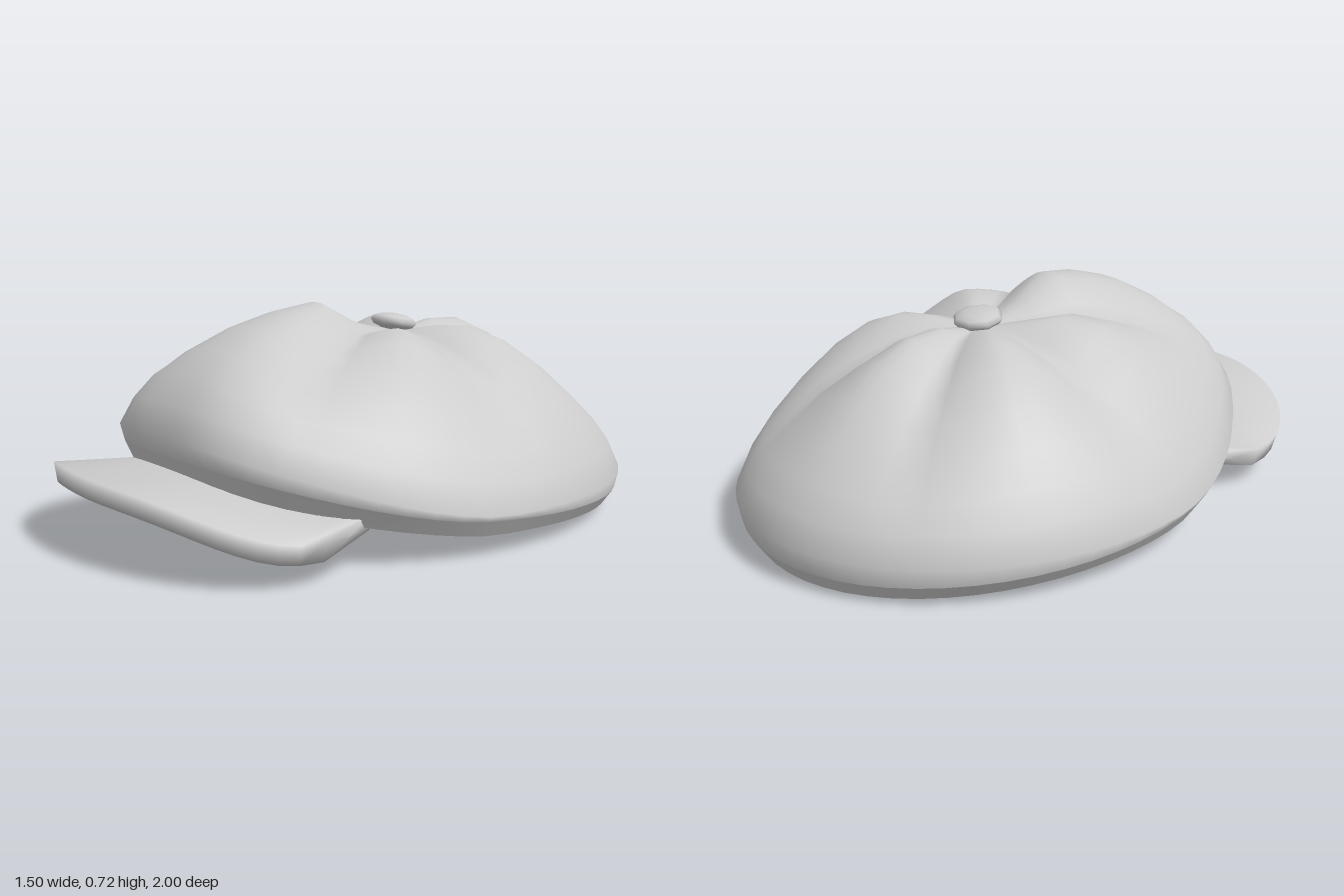
import * as THREE from 'three';
import { toCreasedNormals } from 'three/addons/utils/BufferGeometryUtils.js';

const { clamp, degToRad } = THREE.MathUtils;
const CENTRE_Z = -0.17;
const SEGMENTS = 60;

// Surface through rows of [x, y, z] points; each row is a closed ring
function loft(rows) {
  const n = rows[0].length;
  const index = [];
  for (let i = 0; i < rows.length - 1; i++) {
    for (let j = 0; j < n; j++) {
      const k = (j + 1) % n;
      const a = i * n + j, b = a + n, c = (i + 1) * n + k, d = i * n + k;
      index.push(a, b, c, a, c, d);
    }
  }
  const g = new THREE.BufferGeometry();
  g.setAttribute('position', new THREE.Float32BufferAttribute(rows.flat(2), 3));
  g.setIndex(index);
  g.computeVertexNormals();
  return g;
}

// Crown heights from the button (0) out to the widest line (1)
const STEPS = [0, 0.08, 0.2, 0.35, 0.5, 0.65, 0.78, 0.88, 0.95, 1];
const FRONT = [0.6, 0.61, 0.65, 0.72, 0.7, 0.66, 0.6, 0.53, 0.45, 0.36];
const SIDE = [0.6, 0.61, 0.625, 0.63, 0.595, 0.515, 0.42, 0.32, 0.23, 0.14];
const BACK = [0.6, 0.61, 0.63, 0.625, 0.57, 0.485, 0.38, 0.3, 0.22, 0.13];
const CREASE = [0, 0.005, 0.03, 0.07, 0.078, 0.062, 0.04, 0.022, 0.008, 0];
const SEAMS = [36, 90, 150];

// Point on the oval plan, squarer at the front corners, scaled about the button
function plan(angle, s) {
  const c = Math.cos(angle);
  const turn = Math.acos(clamp(c, 0.6, 1)) / Math.acos(0.6);
  const z = -0.12 + 0.88 * c + 0.036 * Math.sin(Math.PI * turn) ** 2;
  return [0.75 * Math.sin(angle) * s, CENTRE_Z + s * (z - CENTRE_Z)];
}

// Heights of the widest line, the crown's lower edge and the band's lower edge
function rimY(z) {
  return z < 0 ? 0.14 + 0.01 * z : 0.14 + 0.22 * Math.pow(z / 0.76, 1.5);
}
function tuckY(z) {
  return z < 0 ? 0.122 + 0.062 * z : 0.122 + 0.178 * Math.pow(z / 0.76, 1.5);
}
function bandY(z) {
  return z < 0 ? 0.07 - 0.066 * Math.pow(-z / 0.95, 1.5) : 0.07 + 0.13 * Math.pow(z / 0.7, 1.3);
}

function ring(s, height) {
  return Array.from({ length: SEGMENTS }, (_, j) => {
    const angle = (j / SEGMENTS) * Math.PI * 2;
    const [x, z] = plan(angle, s);
    return [x, height(angle), z];
  });
}

function crownRing(i) {
  return ring(STEPS[i], (angle) => {
    const c = Math.cos(angle);
    const blend = (k) => SIDE[k] + ((c > 0 ? FRONT[k] : BACK[k]) - SIDE[k]) * c * c;
    // Follow the widest line towards the edge
    const edge = clamp((STEPS[i] - 0.78) / 0.22, 0, 1);
    const y = blend(i) + (rimY(plan(angle, 1)[1]) - blend(9)) * edge;
    // Panels sink in towards the seams
    const deg = Math.acos(clamp(c, -1, 1)) * 180 / Math.PI;
    const near = Math.min(...SEAMS.map((seam) => Math.abs(deg - seam)));
    return y - CREASE[i] * Math.pow(1 - Math.min(near / 30, 1), 1.5);
  });
}

// Visor cross-sections from one end to the other
function visorGeometry() {
  const rows = [];
  const count = 24;
  for (let i = 0; i <= count; i++) {
    const a = degToRad(-90 + (180 * i) / count);
    const c = Math.max(0, Math.cos(a));
    const xo = 0.6 * Math.sin(a), zo = 0.57 + 0.43 * Math.pow(c, 0.82);
    const [xi, zi] = plan(a * 0.58, 0.92);
    const bend = Math.pow(Math.abs(Math.sin(a)), 3);
    const yo = 0.264 - 0.13 * bend;
    const yi = 0.25 - 0.085 * bend;
    rows.push([
      [xo, yo, zo],
      [xi, yi, zi],
      [xi, yi - 0.045, zi],
      [xo * 0.97, yo - 0.064, zo - 0.005],
    ]);
  }
  // Close both ends
  const cap = (row) => {
    const mid = [0, 1, 2].map((k) => row.reduce((t, p) => t + p[k], 0) / row.length);
    return row.map(() => mid);
  };
  return loft([cap(rows[0]), ...rows, cap(rows[count])]);
}

export function createModel() {
  const cap = new THREE.Group();
  cap.name = 'cap';
  const cloth = new THREE.MeshStandardMaterial({ color: 0xcccccc, side: THREE.DoubleSide });
  cloth.name = 'light grey cloth';

  const add = (name, geometry) => {
    const mesh = new THREE.Mesh(geometry, cloth);
    mesh.name = name;
    cap.add(mesh);
    return mesh;
  };

  // Panelled crown, tucked under at its edge
  const tuck = ring(0.985, (a) => tuckY(plan(a, 1)[1]));
  add('crown', loft([...STEPS.map((_, i) => crownRing(i)), tuck]));

  // Band folding under to the head opening and up inside
  const lower = (s, lift) => ring(s, (a) => bandY(plan(a, 0.94)[1]) + lift);
  const band = loft([tuck, lower(0.942, 0), lower(0.875, 0.014), lower(0.9, 0.05)]);
  add('band', toCreasedNormals(band, 0.6));

  add('visor', visorGeometry());

  // Eight-sided covered button
  const button = add('button', new THREE.SphereGeometry(0.09, 8, 6));
  button.geometry.rotateY(Math.PI / 8);
  button.scale.set(1, 0.32, 0.88);
  button.rotation.x = -0.18;
  button.position.set(0, 0.632, CENTRE_Z - 0.003);

  return cap;
}
